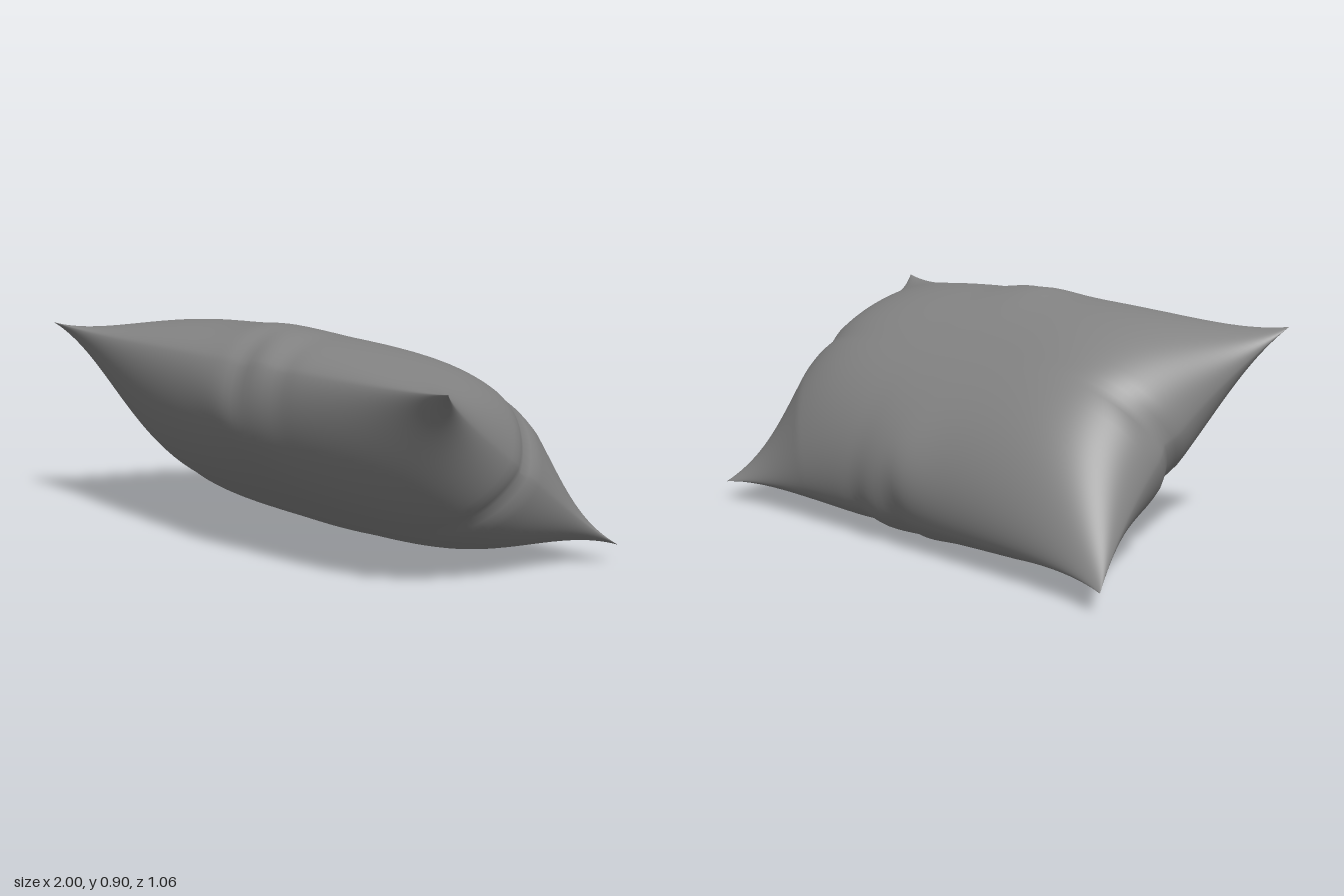
import * as THREE from 'three';
import { mergeGeometries, mergeVertices } from 'three/addons/utils/BufferGeometryUtils.js';

const bump = (t, centre, width) => Math.exp(-(((t - centre) / width) ** 2));

// Maps u, w in [-1, 1] to a point on one face of the cushion (side 1 = underside, -1 = upper side).
function cushionPoint(u, w, side) {
  const au = Math.abs(u), aw = Math.abs(w);

  // Outline: pulled in between the pointed corners, with a deeper tuck on one end
  const halfWidth = u < 0
    ? 0.87 + 0.13 * aw ** 1.8 - 0.02 * bump(w, 0, 0.06)
    : 0.935 + 0.065 * aw ** 5 - 0.02 * bump(w, 0, 0.06);
  const gather = bump(u, 0.02, 0.05) - 0.6 * bump(u, 0.13, 0.05) + 0.6 * bump(u, 0.23, 0.05);
  const halfHeight = 0.6 + 0.05 * au ** 6 - 0.012 * gather;

  // Puffed thickness: flat in the middle, a little fuller towards the low edge, thin at the corners
  const across = (1 - aw ** (w < 0 ? 2.6 : 2.4)) ** 0.6;
  const along = (1 - au ** 5) ** 0.6;
  let n = 0.32 * across * along * (1 - 0.7 * (au * aw) ** 2);

  // Diagonal folds that flatten two opposite low corners
  if (w < 0 && u * side < 0) n *= 1 - 0.8 * Math.max(0, au + 0.45 * aw - 0.98);

  // Swelling and gathers in the middle of the long seams, tucks at the short ends
  n *= 1 + (0.3 * bump(u, 0, 0.16) + 0.06 * gather) * aw ** 4;
  n *= 1 - 0.2 * bump(w, 0, 0.09) * au ** 20;

  return [u * halfWidth, w * halfHeight, side * n];
}

function cushionFace(side) {
  const geo = new THREE.PlaneGeometry(2, 2, 96, 56);
  const pos = geo.attributes.position;
  for (let i = 0; i < pos.count; i++) {
    // Sine spacing gathers the rows near the seam
    const u = Math.sin(pos.getX(i) * Math.PI / 2);
    const w = Math.sin(pos.getY(i) * Math.PI / 2);
    pos.setXYZ(i, ...cushionPoint(u, w, side));
  }
  geo.deleteAttribute('uv');
  geo.deleteAttribute('normal');
  // The opposite face needs its corners in the reverse order
  if (side < 0) geo.setIndex(Array.from(geo.index.array).reverse());
  return geo;
}

export function createModel() {
  const group = new THREE.Group();
  group.name = 'pillow';

  // Two faces joined along the seam
  const geo = mergeVertices(mergeGeometries([cushionFace(1), cushionFace(-1)]), 1e-5);
  geo.computeVertexNormals();
  const cushion = new THREE.Mesh(geo, new THREE.MeshStandardMaterial({ color: 0x838383 }));
  cushion.name = 'cushion';

  // Leaning, with the front edge raised
  cushion.rotation.x = 0.953;
  cushion.position.set(0, 0.459, 0.004);
  group.add(cushion);
  return group;
}
